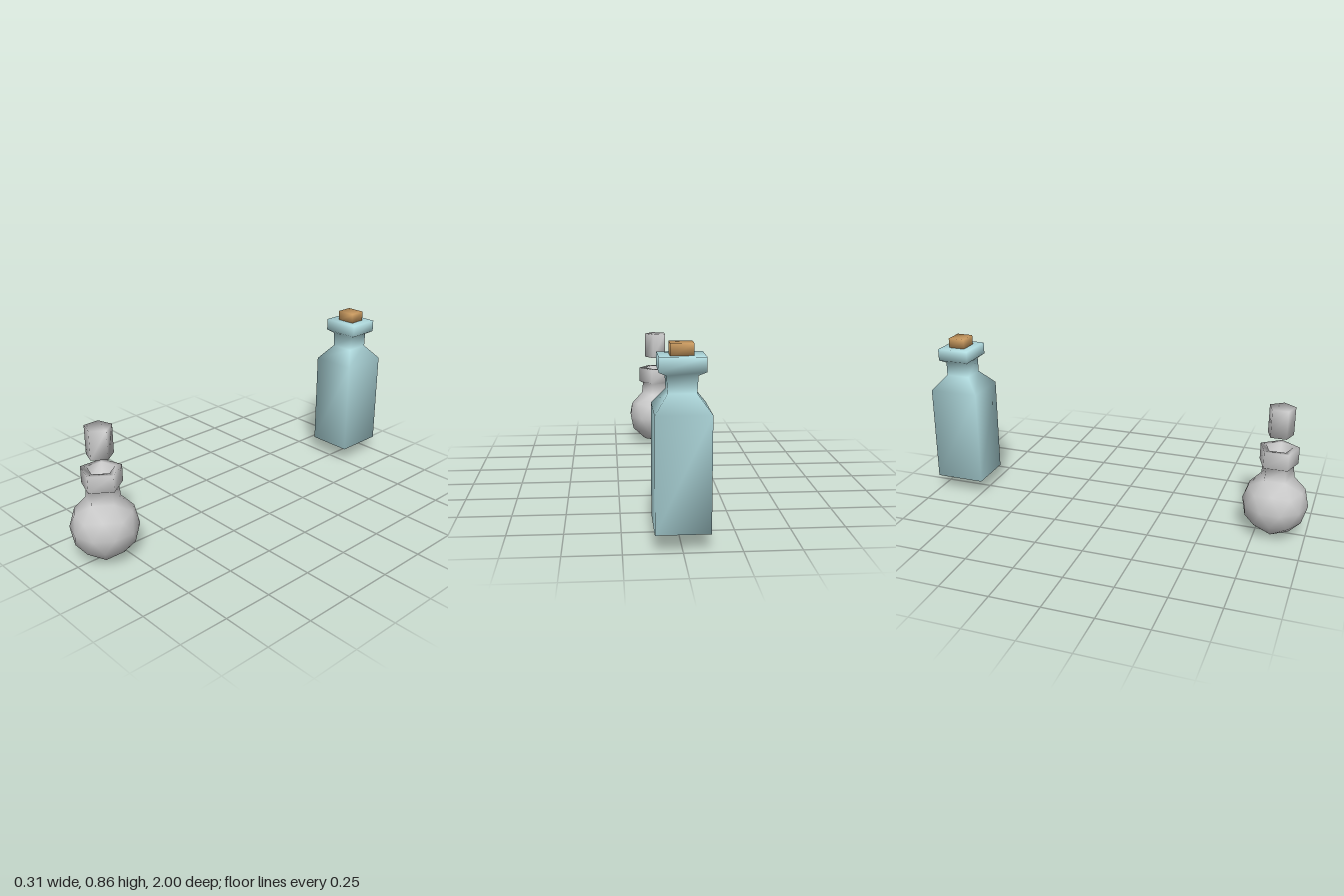
import * as THREE from 'three';
import { mergeVertices, mergeGeometries } from 'three/addons/utils/BufferGeometryUtils.js';

// Joins n-sided rings [rx, y, rz] from first to last; optionally closes the ends.
function loft(n, turn, rings, capStart, capEnd) {
  const pos = [], idx = [];
  for (const [rx, y, rz = rx] of rings) {
    for (let i = 0; i < n; i++) {
      const a = turn + (i / n) * Math.PI * 2;
      pos.push(rx * Math.cos(a), y, rz * Math.sin(a));
    }
  }
  for (let r = 0; r < rings.length - 1; r++) {
    for (let i = 0; i < n; i++) {
      const a = r * n + i, b = r * n + ((i + 1) % n);
      idx.push(a, a + n, b, b, a + n, b + n);
    }
  }
  const last = (rings.length - 1) * n;
  for (let i = 1; i < n - 1; i++) {
    if (capStart) idx.push(0, i, i + 1);
    if (capEnd) idx.push(last, last + i + 1, last + i);
  }
  const g = new THREE.BufferGeometry();
  g.setAttribute('position', new THREE.Float32BufferAttribute(pos, 3));
  g.setIndex(idx);
  g.computeVertexNormals();
  return g;
}

// Square rings given by half widths.
const square = (rings) => loft(4, Math.PI / 4,
  rings.map(([hx, y, hz]) => [hx * Math.SQRT2, y, hz * Math.SQRT2]), true, true);

const pentagon = (rings, capStart, capEnd) => loft(5, 0, rings, capStart, capEnd);

function part(name, geometry, color) {
  const mesh = new THREE.Mesh(geometry, new THREE.MeshStandardMaterial({ color }));
  mesh.name = name;
  return mesh;
}

// Icosphere with a vertex at each pole and the top five faces left open for the neck.
function openSphere(radius, centreY) {
  const t = (1 + Math.sqrt(5)) / 2;
  const g = new THREE.IcosahedronGeometry(1, 1);
  g.applyQuaternion(new THREE.Quaternion().setFromUnitVectors(
    new THREE.Vector3(-1, t, 0).normalize(), new THREE.Vector3(0, 1, 0)));
  const p = g.getAttribute('position'), kept = [];
  for (let f = 0; f < p.count; f += 3) {
    if (Math.max(p.getY(f), p.getY(f + 1), p.getY(f + 2)) > 0.99) continue;
    for (let k = f; k < f + 3; k++) {
      kept.push(p.getX(k) * radius, p.getY(k) * radius + centreY, p.getZ(k) * radius);
    }
  }
  const out = new THREE.BufferGeometry();
  out.setAttribute('position', new THREE.Float32BufferAttribute(kept, 3));
  return out;
}

export function createModel() {
  const model = new THREE.Group();
  model.name = 'bottles';

  // Square glass bottle with its cork
  const bottle = new THREE.Group();
  bottle.name = 'squareBottle';
  bottle.position.z = -0.87;
  bottle.add(part('bottleGlass', square([
    [0.117, 0.08, 0.13], [0.117, 0.58, 0.13],
    [0.06, 0.655, 0.062], [0.065, 0.727, 0.058],
    [0.097, 0.745, 0.083], [0.097, 0.806, 0.083],
  ]), 0xb0dade));
  bottle.add(part('cork', square([
    [0.049, 0.8, 0.043], [0.049, 0.856, 0.043],
  ]), 0xc8995f));
  model.add(bottle);

  // Round flask: sphere, five-sided neck, lip and hollow mouth
  const flask = new THREE.Group();
  flask.name = 'roundFlask';
  flask.position.z = 0.838;
  const R = 0.164, cy = 0.165;
  const neck = pentagon([
    [R * 0.52573, cy + R * 0.85065], [0.079, 0.366],
    [0.1, 0.376], [0.1, 0.46],
    [0.068, 0.46], [0.064, 0.385],
  ], false, true).toNonIndexed();
  neck.deleteAttribute('normal');
  const body = mergeVertices(mergeGeometries([openSphere(R, cy), neck]), 1e-3);
  body.computeVertexNormals();
  flask.add(part('flaskBody', body, 0xcccccc));

  // Stopper hovering over the mouth
  flask.add(part('stopper', pentagon([[0.066, 0.527], [0.066, 0.669]], true, true), 0xcccccc));
  model.add(flask);

  return model;
}
